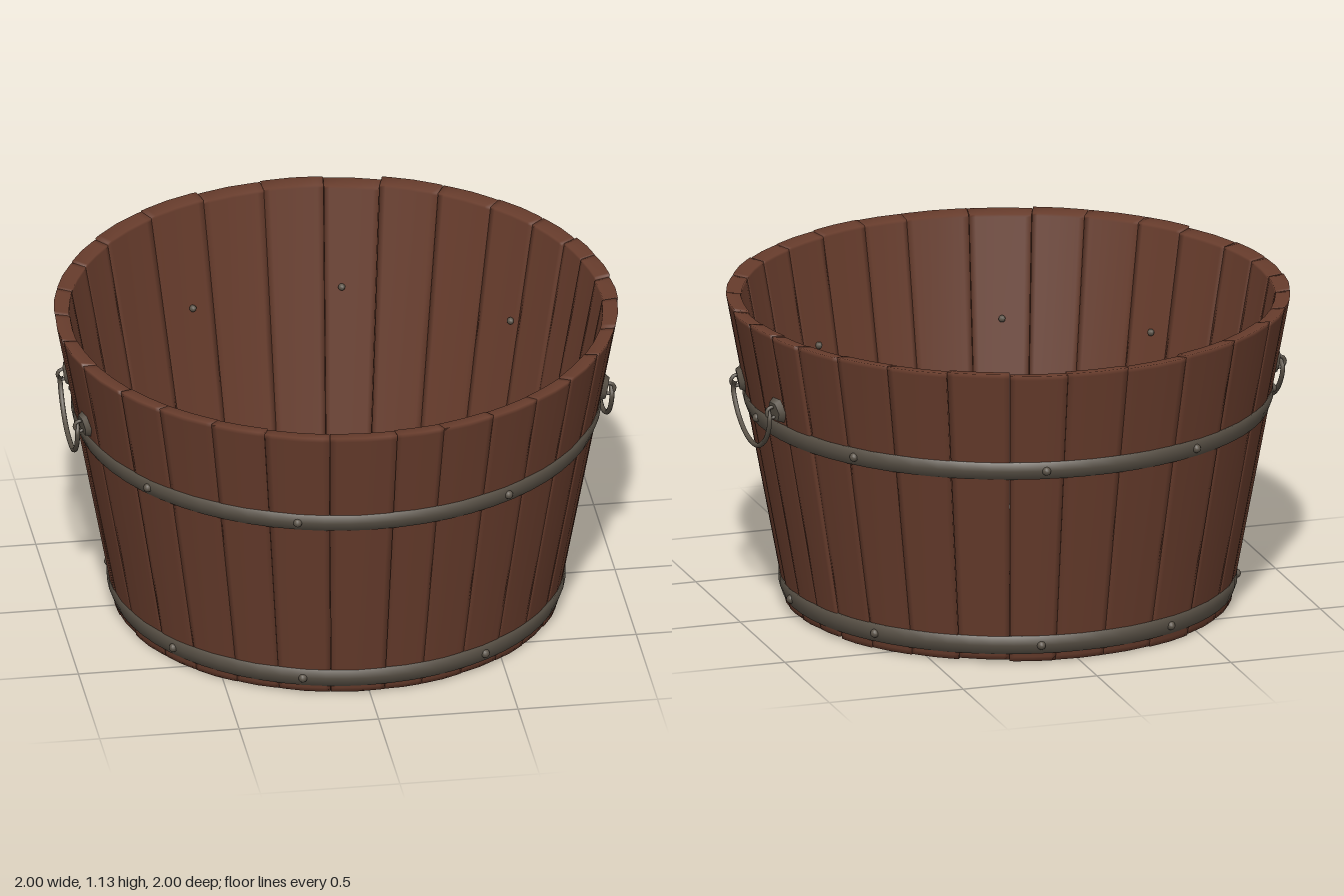
import * as THREE from 'three';
import { mergeVertices } from 'three/addons/utils/BufferGeometryUtils.js';

const wood = new THREE.MeshStandardMaterial({ color: 0x673c2c });
wood.name = 'brown wood';
const iron = new THREE.MeshStandardMaterial({ color: 0x5a5247 });
iron.name = 'dark iron';

const HEIGHT = 1.135;
const THICK = 0.05;
const wallRadius = (y) => 0.787 + (0.21 * y) / HEIGHT; // outer face of the tapering wall

// Angles of the joints between staves, in degrees from the front towards the left
const JOINTS = [4, 14, 25.5, 37, 48, 60, 72.5, 85, 95, 104.5, 113, 124, 136, 149, 162, 174, 187, 201, 215, 230,
  241, 253, 264, 276, 287.5, 301.5, 312.5, 325, 336.5, 350, 364];

let seed = 11;
const rand = () => (seed = (seed * 16807) % 2147483647) / 2147483647;

function add(parent, geometry, material, name) {
  const mesh = new THREE.Mesh(geometry, material);
  mesh.name = name;
  parent.add(mesh);
  return mesh;
}

// One stave: a box bent around the wall, softly shaded over its worn edges
function staveGeometry(a0, a1, bottom, top, shift, twist) {
  const g = new THREE.BoxGeometry(1, 1, 1, 4, 4, 1);
  const rows = [0, 0.015, 0.5, 0.985, 1]; // short rows keep the rounding close to the ends
  const columns = [0, 0.1, 0.5, 0.9, 1];
  const p = g.attributes.position;
  for (let i = 0; i < p.count; i++) {
    const u = columns[Math.round((p.getX(i) + 0.5) * 4)];
    const a = a0 + (a1 - a0) * u;
    const v = rows[Math.round((p.getY(i) + 0.5) * 4)];
    const outward = p.getZ(i) > 0;
    const worn = v === 1 && !outward ? 0.008 : 0;
    const y = bottom + (top - bottom) * v - worn;
    const swell = outward ? 0.003 * (1 - (2 * u - 1) ** 2) : 0;
    const r = wallRadius(y) + shift + swell + twist * (u - 0.5) - (outward ? 0 : THICK);
    p.setXYZ(i, r * Math.sin(a), y, r * Math.cos(a));
  }
  g.deleteAttribute('normal');
  g.deleteAttribute('uv');
  const soft = mergeVertices(g, 1e-5);
  soft.computeVertexNormals();
  return soft;
}

// Closed, slightly domed metal band following the wall taper
function hoopGeometry(y0, y1, inner, outer, sides) {
  const at = (y, d) => new THREE.Vector2(wallRadius(y) + d, y);
  const mid = (y0 + y1) / 2;
  const loop = [at(y0, inner), at(y0, outer - 0.006), at(mid, outer), at(y1, outer - 0.006), at(y1, inner), at(y0, inner)];
  return new THREE.LatheGeometry(loop, sides);
}

// Floor board: a strip of a disc between two x values, with eased edges
function boardGeometry(x0, x1, radius) {
  const shape = new THREE.Shape();
  const steps = 10;
  for (let side = 0; side < 2; side++) {
    for (let i = 0; i <= steps; i++) {
      const t = i / steps;
      const x = side ? x1 + (x0 - x1) * t : x0 + (x1 - x0) * t;
      const y = Math.sqrt(Math.max(0, radius * radius - x * x)) * (side ? 1 : -1);
      if (side || i) shape.lineTo(x, y);
      else shape.moveTo(x, y);
    }
  }
  const ease = 0.003;
  return new THREE.ExtrudeGeometry(shape, {
    depth: 0.034, bevelEnabled: true, bevelSize: ease, bevelOffset: -ease, bevelThickness: ease, bevelSegments: 1,
  }).rotateX(-Math.PI / 2);
}

export function createModel() {
  const model = new THREE.Group();
  model.name = 'woodenTub';

  // Staves of uneven width, each set slightly askew
  const staves = new THREE.Group();
  staves.name = 'staves';
  model.add(staves);
  for (let i = 0; i < JOINTS.length - 1; i++) {
    const gap = 0.0005 + rand() * 0.001;
    const geometry = staveGeometry(
      THREE.MathUtils.degToRad(JOINTS[i]) + gap, THREE.MathUtils.degToRad(JOINTS[i + 1]) - gap,
      0.006 + rand() * 0.012, HEIGHT - 0.004 + rand() * 0.01, (rand() - 0.5) * 0.004, (rand() - 0.5) * 0.012);
    add(staves, geometry, wood, 'stave');
  }

  // Floor boards, raised above the foot and closely fitted apart from one open joint
  const floor = new THREE.Group();
  floor.name = 'floor';
  model.add(floor);
  const cuts = [-0.744, -0.57, -0.4, -0.24, 0, 0.19, 0.385, 0.6, 0.744];
  for (let i = 0; i < cuts.length - 1; i++) {
    const open = cuts[i] === 0.385 ? 0.006 : 0;
    const board = add(floor, boardGeometry(cuts[i] + open, cuts[i + 1], 0.746), wood, 'floorBoard');
    board.position.y = 0.057 + (i % 2) * 0.003;
  }

  // Hoops, and the ring that holds the floor
  add(model, hoopGeometry(0.728, 0.793, -0.01, 0.013, 64), iron, 'upperHoop');
  add(model, hoopGeometry(0.04, 0.108, -0.01, 0.013, 64), iron, 'lowerHoop');
  add(model, hoopGeometry(0.075, 0.108, -0.072, -0.042, 22), iron, 'innerRing');

  // Nails through both hoops, with tips showing inside
  const nails = new THREE.Group();
  nails.name = 'nails';
  model.add(nails);
  const head = new THREE.SphereGeometry(0.016, 10, 8);
  const tip = new THREE.SphereGeometry(0.013, 8, 6);
  for (const deg of [-54, -17, 32, 90, 126, 170, 207, 255]) {
    const a = THREE.MathUtils.degToRad(deg);
    for (const y of [0.76, 0.073]) {
      const put = (geometry, r, name) =>
        add(nails, geometry, iron, name).position.set(r * Math.sin(a), y, r * Math.cos(a));
      put(head, wallRadius(y) + 0.011, 'nailHead');
      if (y > 0.5) put(tip, wallRadius(y) - THICK - 0.008, 'nailTip');
    }
  }

  // Drop handles on both sides
  const bail = new THREE.CatmullRomCurve3([
    [0.958, 0.85, 0.18], [0.958, 0.815, 0.205], [0.956, 0.74, 0.165], [0.954, 0.685, 0.085], [0.952, 0.667, 0],
    [0.954, 0.685, -0.085], [0.956, 0.74, -0.165], [0.958, 0.815, -0.205], [0.958, 0.85, -0.18],
  ].map((v) => new THREE.Vector3(...v)));
  const bailGeometry = new THREE.TubeGeometry(bail, 40, 0.009, 8);
  const plateGeometry = new THREE.CylinderGeometry(0.038, 0.05, 0.022, 6).rotateZ(-Math.PI / 2);
  const eyeGeometry = new THREE.TorusGeometry(0.02, 0.007, 6, 14);
  for (const side of [0, 1]) {
    const handle = new THREE.Group();
    handle.name = side ? 'rightHandle' : 'leftHandle';
    handle.rotation.y = side * Math.PI;
    add(handle, bailGeometry, iron, 'handleBar');
    for (const s of [-1, 1]) {
      const plate = add(handle, plateGeometry, iron, 'handlePlate');
      plate.position.set(0.932, 0.845, s * 0.2);
      plate.rotation.set(0, -s * 0.21, -0.18);
      add(handle, eyeGeometry, iron, 'handleEye').position.set(0.948, 0.84, s * 0.2);
    }
    model.add(handle);
  }
  return model;
}
